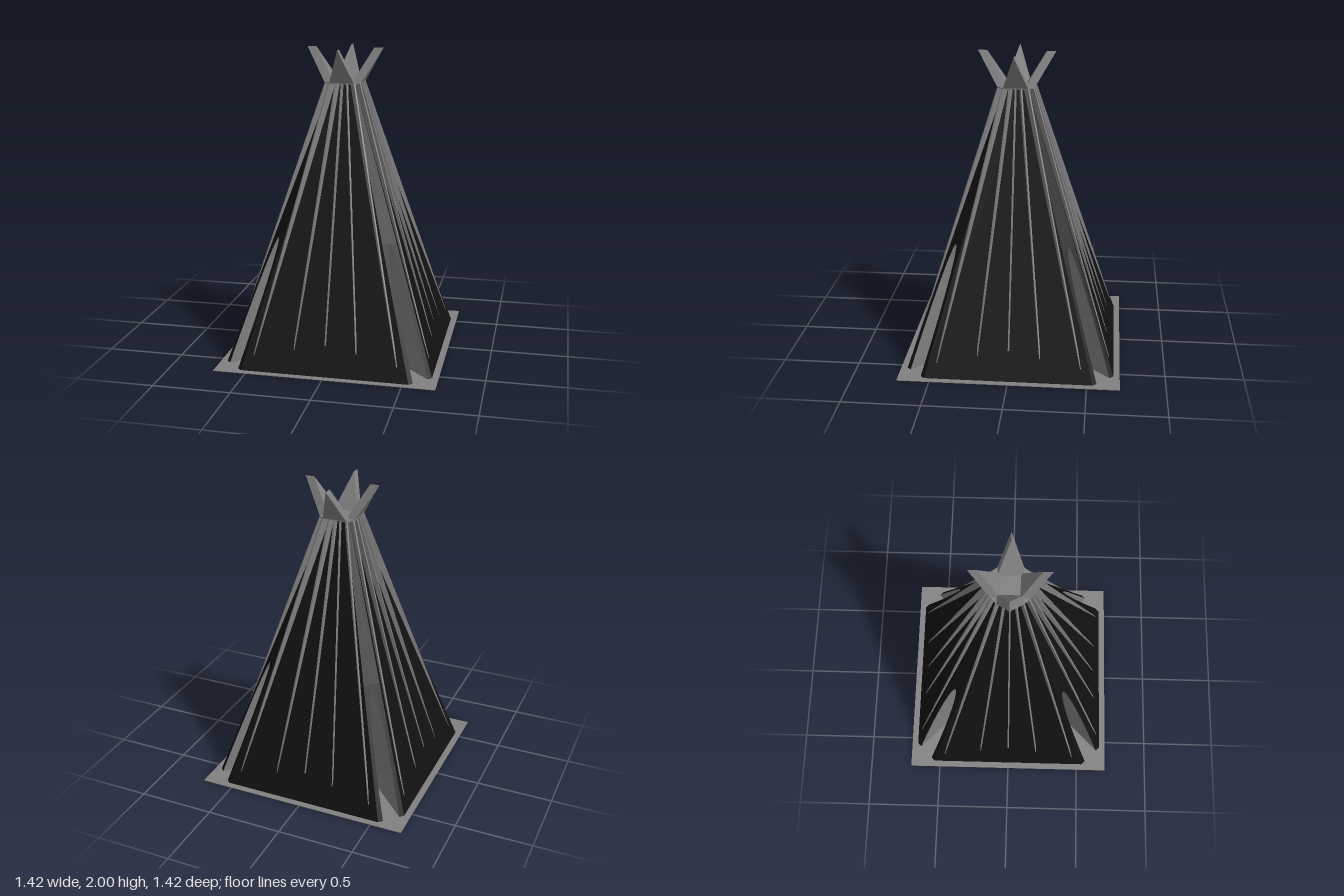
import * as THREE from 'three';

const TOP = 1.78, APEX = 2, HALF = 0.67, FLAT = 0.54;   // body: truncated chamfered pyramid
const ARCH_W = 0.057, ARCH_H = 0.81;                     // passage arch half width and height
const taper = y => 1 - y / APEX;
const archW = y => ARCH_W * Math.sqrt(Math.max(0, 1 - (y / ARCH_H) ** 2));

// strip of quads between two point functions over a list of heights
function strip(levels, a, b) {
  const pos = [];
  for (let i = 0; i < levels.length - 1; i++) {
    const [p, q, r, s] = [a(levels[i]), b(levels[i]), b(levels[i + 1]), a(levels[i + 1])];
    pos.push(...p, ...q, ...r, ...p, ...r, ...s);
  }
  const g = new THREE.BufferGeometry();
  g.setAttribute('position', new THREE.Float32BufferAttribute(pos, 3));
  g.computeVertexNormals();
  return g;
}

export function createModel() {
  const grey = new THREE.MeshStandardMaterial({ color: 0x808080, side: THREE.DoubleSide });
  grey.name = 'stone grey';
  const black = new THREE.MeshStandardMaterial({ color: 0x111111, side: THREE.DoubleSide });
  black.name = 'glass black';

  const model = new THREE.Group();
  model.name = 'tower';
  const add = (name, geo, mat, angle = 0) => {
    const m = new THREE.Mesh(geo, mat);
    m.name = name;
    m.rotation.y = angle;
    model.add(m);
    return m;
  };

  // ground plate
  add('groundPlate', new THREE.BoxGeometry(1.42, 0.004, 1.42), grey).position.y = 0.002;

  // four broad walls
  const wall = strip([0.003, TOP],
    y => [-FLAT * taper(y), y, HALF * taper(y)],
    y => [FLAT * taper(y), y, HALF * taper(y)]);

  // chamfered corners with an arched opening, built facing +z
  const cornerW = (HALF - FLAT) / Math.SQRT2;
  const cornerD = y => (HALF + FLAT) / Math.SQRT2 * taper(y);
  const levels = [];
  for (let i = 0; i <= 24; i++) levels.push(0.003 + (ARCH_H - 0.003) * Math.sin(i / 24 * Math.PI / 2));
  const cornerLevels = [...levels, TOP];
  const edge = s => y => [s * cornerW * taper(y), y, cornerD(y)];
  const jamb = s => y => [s * archW(y), y, cornerD(y)];
  const groin = s => y => [s * archW(y), y, archW(y)];
  const cornerL = strip(cornerLevels, edge(-1), jamb(-1));
  const cornerR = strip(cornerLevels, jamb(1), edge(1));

  // crossing vaulted passages along the diagonals
  const passageL = strip(levels, jamb(-1), groin(-1));
  const passageR = strip(levels, groin(1), jamb(1));

  // crown spike: triangular prism leaning outwards
  const tri = new THREE.Shape([[-0.08, 0], [0.08, 0], [0, 0.22]].map(p => new THREE.Vector2(...p)));
  const spike = new THREE.ExtrudeGeometry(tri, { depth: 0.06, bevelEnabled: false });
  spike.applyMatrix4(new THREE.Matrix4().set(
    1, 0, 0, 0,
    0, 1, 0, TOP,
    0, 0.13 / 0.22, 1, 0.06,
    0, 0, 0, 1));
  spike.computeVertexNormals();

  for (let i = 0; i < 4; i++) {
    const a = i * Math.PI / 2, d = a + Math.PI / 4;
    add('wall', wall, black, a);
    add('cornerLeft', cornerL, black, d);
    add('cornerRight', cornerR, black, d);
    add('passageWallLeft', passageL, grey, d);
    add('passageWallRight', passageR, grey, d);
    add('crownSpike', spike, grey, a);
  }

  // octagonal plate under the crown
  const oct = new THREE.Shape([[-0.08, -0.12], [0.08, -0.12], [0.12, -0.08], [0.12, 0.08],
    [0.08, 0.12], [-0.08, 0.12], [-0.12, 0.08], [-0.12, -0.08]].map(p => new THREE.Vector2(...p)));
  const plate = new THREE.ExtrudeGeometry(oct, { depth: 0.008, bevelEnabled: false });
  plate.rotateX(-Math.PI / 2);
  add('crownPlate', plate, grey).position.y = TOP - 0.006;

  // twenty radiating fins that sink into the walls near the ground
  const endHeights = [0.19, 0.15, 0.10];
  for (let i = 0; i < 20; i++) {
    const k = i % 5, n = Math.min(k, 5 - k);          // steps away from the nearest wall centre
    const c = Math.cos(n * Math.PI / 10), yEnd = endHeights[n];
    const rTop = Math.min(0.12 / c, 0.142), rEnd = HALF * taper(yEnd) / c;
    const inner = HALF * taper(TOP) / c - 0.02;
    const fin = new THREE.Shape();
    fin.moveTo(inner, TOP);
    fin.lineTo(rEnd - 0.02, yEnd);
    fin.lineTo(rEnd, yEnd);
    fin.lineTo(rTop, TOP);
    fin.closePath();
    const g = new THREE.ExtrudeGeometry(fin, { depth: 0.01, bevelEnabled: false });
    g.translate(0, 0, -0.005);
    add('fin', g, grey, i * Math.PI / 10);
  }
  return model;
}
